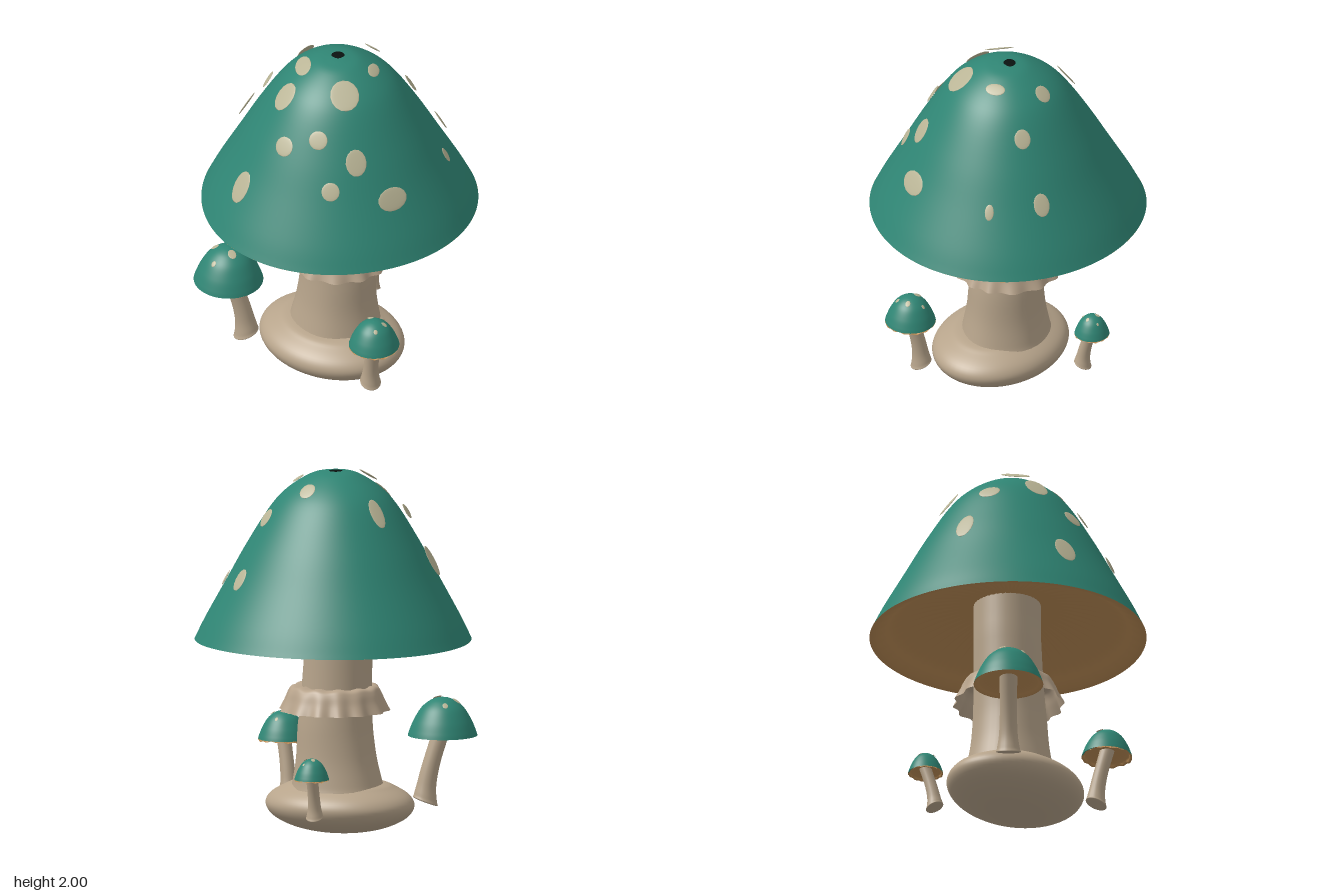
import * as THREE from 'three';

const mat = (color, side = THREE.FrontSide) => new THREE.MeshStandardMaterial({ color, side, roughness: 0.8 });
const TEAL = mat(0x2f8574, THREE.DoubleSide);
const STEM = mat(0xb7a48b);
const SKIRT = mat(0xb7a38b, THREE.DoubleSide);
const GILL = mat(0xb98a54, THREE.DoubleSide);
const SPOT = mat(0xbab596);
const DARK = mat(0x0a1210);

// Smooth curve through a few [radius, height] pairs
function smooth(pairs, n) {
  const pts = new THREE.SplineCurve(pairs.map(p => new THREE.Vector2(...p))).getPoints(n);
  pts.forEach(p => { p.x = Math.max(p.x, 0); });
  return pts;
}

// Lathe whose vertices are moved by a rule
function turned(name, points, sides, material, warp) {
  const geo = new THREE.LatheGeometry(points, sides);
  const pos = geo.attributes.position, v = new THREE.Vector3();
  for (let i = 0; i < pos.count; i++) {
    v.fromBufferAttribute(pos, i);
    warp(v, Math.atan2(v.z, v.x), Math.hypot(v.x, v.z));
    pos.setXYZ(i, v.x, v.y, v.z);
  }
  // Keep the seam smooth by averaging its two columns of normals
  geo.computeVertexNormals();
  const nor = geo.attributes.normal, rows = points.length, a = new THREE.Vector3(), b = new THREE.Vector3();
  for (let j = 0; j < rows; j++) {
    const k = sides * rows + j;
    a.fromBufferAttribute(nor, j).add(b.fromBufferAttribute(nor, k)).normalize();
    nor.setXYZ(j, a.x, a.y, a.z);
    nor.setXYZ(k, a.x, a.y, a.z);
  }
  const mesh = new THREE.Mesh(geo, material);
  mesh.name = name;
  return mesh;
}

// Height and slope on a profile (ordered from rim to tip) at a given radius
function sample(points, r) {
  let i = 0;
  while (i < points.length - 2 && points[i + 1].x > r) i++;
  const a = points[i], b = points[i + 1];
  const slope = (b.y - a.y) / ((b.x - a.x) || -1e-6);
  return { y: a.y + slope * (r - a.x), slope };
}

// Cap with gills and spots; spots are [x, z, half width around, half width along the slope, lift]
function makeCap(name, { profile, radius, height, wobble, spots, waves, ragged }) {
  const cap = new THREE.Group();
  cap.name = name;
  // Uneven outline, fuller at the back than at the front
  const grow = a => 1 - wobble * (0.3 * (Math.cos(a) - Math.cos(3 * a)) + Math.sin(a) + Math.sin(3 * a));
  const points = smooth(profile.map(([r, y]) => [r * radius, y * height]), 48);
  points[points.length - 1].x = 0;
  cap.add(turned(name + 'Dome', points, 96, TEAL, (v, a) => {
    v.x *= grow(a);
    v.z *= grow(a);
  }));

  // Ribbed underside: a narrow lip at the rim, then a hollow rising to the stem
  const under = smooth([[0, 0.215], [0.25, 0.2], [0.55, 0.155], [0.8, 0.085], [0.9, 0.03], [0.96, 0.003], [1, 0]]
    .map(([r, y]) => [r * radius, y * height]), 24);
  cap.add(turned(name + 'Gills', under, 240, GILL, (v, a, r) => {
    const f = r / radius;
    v.x *= grow(a);
    v.z *= grow(a);
    v.y += 0.007 * radius * Math.cos(waves * a) * Math.min(1, 4 * f * f) * Math.min(1, 8 * Math.max(0, 1 - f));
    if (f > 0.9) v.y -= ragged * (0.5 + 0.5 * Math.sin(9 * a) * Math.cos(5 * a + 1));
  }));

  // Thin oval spots lying on the dome or hovering just above it
  const disc = new THREE.SphereGeometry(1, 24, 8);
  spots.forEach(([x, z, wide, long, lift = 0]) => {
    const a = Math.atan2(z, x), g = grow(a);
    const { y, slope } = sample(points, Math.hypot(x, z) / g);
    const normal = new THREE.Vector3(-slope / g * Math.cos(a), 1, -slope / g * Math.sin(a)).normalize();
    const around = new THREE.Vector3(-Math.sin(a), 0, Math.cos(a));
    const along = new THREE.Vector3().crossVectors(normal, around);
    const spot = new THREE.Mesh(disc, SPOT);
    spot.name = name + 'Spot';
    spot.quaternion.setFromRotationMatrix(new THREE.Matrix4().makeBasis(around, along, normal));
    spot.position.set(x, y + lift, z).addScaledVector(normal, 0.01 * Math.sqrt(radius));
    spot.scale.set(wide, long, 0.005 * Math.sqrt(radius));
    cap.add(spot);
  });
  return cap;
}

const BIG_PROFILE = [[1, 0], [0.985, 0.025], [0.915, 0.14], [0.77, 0.355], [0.625, 0.57],
  [0.46, 0.785], [0.335, 0.895], [0.18, 0.975], [0.07, 0.997], [0, 1]];
const SMALL_PROFILE = [[1, 0], [0.95, 0.14], [0.83, 0.4], [0.63, 0.7], [0.41, 0.88], [0.2, 0.97], [0, 1]];

// Small mushroom with a curved stem running from foot to cap
function smallMushroom(name, { foot, top, radius, height, stem, ragged, turn }) {
  const g = new THREE.Group();
  g.name = name;
  const y0 = foot[1], len = top[1] + height * 0.2 - y0;
  const dx = top[0] - foot[0], dz = top[2] - foot[2], lean = Math.hypot(dx, dz);
  const shape = smooth([[0, 0], [stem * 1.3, 0], [stem * 1.28, 0.06], [stem * 1.05, 0.25],
    [stem * 0.95, 0.6], [stem, 1]].map(([r, t]) => [r, t * len]), 30);
  g.add(turned(name + 'Stem', shape, 20, STEM, v => {
    const t = v.y / len, k = t * t * (1.6 - 0.6 * t);
    v.y += y0 - (v.x * dx + v.z * dz) / lean * 0.38 * (1 - t);
    v.x += foot[0] + dx * k;
    v.z += foot[2] + dz * k;
  }));
  const spots = [[0, 0.3, 0.12], [1.1, 0.6, 0.07], [2.3, 0.4, 0.1], [3.5, 0.5, 0.08]]
    .map(([a, f, s]) => [Math.cos(a + turn) * f * radius, Math.sin(a + turn) * f * radius, s * radius, s * radius * 1.3]);
  const cap = makeCap(name + 'Cap', { profile: SMALL_PROFILE, radius, height, wobble: 0, spots, waves: 30, ragged });
  cap.position.set(...top);
  g.add(cap);
  return g;
}

export function createModel() {
  const model = new THREE.Group();
  model.name = 'mushroomCluster';

  // Flattened bulb at the foot
  const bulb = turned('bulb', smooth([[0, 0], [0.15, 0.01], [0.28, 0.04], [0.38, 0.09], [0.42, 0.15],
    [0.395, 0.205], [0.32, 0.25], [0.24, 0.275], [0, 0.285]], 40), 64, STEM, v => { v.z *= 0.82; });
  bulb.position.set(-0.01, 0, 0.04);
  model.add(bulb);

  // Main stem, flaring at the foot and leaning slightly
  model.add(turned('stem', smooth([[0.258, 0.25], [0.247, 0.29], [0.222, 0.42], [0.206, 0.6],
    [0.193, 0.8], [0.185, 1.05], [0.183, 1.28]], 30), 40, STEM, (v, a) => {
    const low = Math.max(0, 1 - v.y), foot = Math.max(0, 0.6 - v.y) / 0.35;
    const k = 1 + 0.015 * Math.cos(5 * a) * low;
    v.x = v.x * k - 0.025 * Math.max(0, Math.min(1, (v.y - 0.55) / 0.5)) - 0.012 * foot;
    v.z = v.z * k * (1 - 0.1 * low) - 0.005 + 0.01 * foot;
  }));

  // Ruffled skirt around the stem
  const skirt = turned('skirt', smooth([[0.298, 0.68], [0.272, 0.735], [0.252, 0.785], [0.228, 0.812], [0.17, 0.815]], 18),
    160, SKIRT, (v, a) => {
      const f = Math.max(0, (0.82 - v.y) / 0.14);
      const k = 1 + 0.035 * f * Math.sin(14 * a + 0.8 * Math.sin(3 * a)) - 0.01 * f;
      v.x *= k;
      v.z *= k;
      v.y += 0.004 * Math.sin(11 * a) * (1 - f);
    });
  skirt.position.set(-0.003, 0, -0.012);
  model.add(skirt);

  // Main cap
  const cap = makeCap('cap', {
    profile: BIG_PROFILE, radius: 0.755, height: 0.93, wobble: 0.012, waves: 48, ragged: 0,
    spots: [[0.33, -0.485, 0.045, 0.065, 0.035], [0.26, -0.305, 0.045, 0.055, 0.03], [0.52, -0.275, 0.025, 0.045],
      [0.03, -0.27, 0.045, 0.05, 0.025], [-0.33, -0.16, 0.042, 0.09, 0.015], [0.185, -0.07, 0.055, 0.035],
      [-0.53, 0.105, 0.05, 0.09, 0.05], [-0.36, 0.14, 0.06, 0.045, 0.04], [-0.13, 0.135, 0.08, 0.05, 0.01],
      [0.17, 0.17, 0.08, 0.088], [-0.14, 0.285, 0.064, 0.085], [0.53, 0.225, 0.088, 0.065, 0.012],
      [0.345, 0.305, 0.058, 0.075, 0.012], [0.145, 0.375, 0.052, 0.052, 0.01], [-0.03, 0.445, 0.056, 0.055],
      [0.285, 0.455, 0.05, 0.052, 0.015], [-0.235, 0.56, 0.06, 0.095]],
  });
  cap.position.y = 1.07;
  model.add(cap);

  // Dark dimple at the tip
  const dimple = new THREE.Mesh(new THREE.SphereGeometry(0.038, 20, 8), DARK);
  dimple.name = 'capDimple';
  dimple.scale.y = 0.08;
  dimple.position.set(-0.01, 1.998, -0.015);
  model.add(dimple);

  // Three small mushrooms around the bulb
  model.add(
    smallMushroom('rightMushroom', { foot: [-0.4, 0.155, 0.3], top: [-0.475, 0.52, 0.36], radius: 0.19, height: 0.21, stem: 0.049, ragged: 0, turn: 0.6 }),
    smallMushroom('leftMushroom', { foot: [0.415, 0.15, 0.265], top: [0.465, 0.445, 0.3], radius: 0.138, height: 0.155, stem: 0.041, ragged: 0.012, turn: 3.6 }),
    smallMushroom('backMushroom', { foot: [-0.1, 0.15, -0.45], top: [-0.11, 0.37, -0.505], radius: 0.095, height: 0.115, stem: 0.034, ragged: 0.009, turn: 4 }),
  );
  return model;
}
